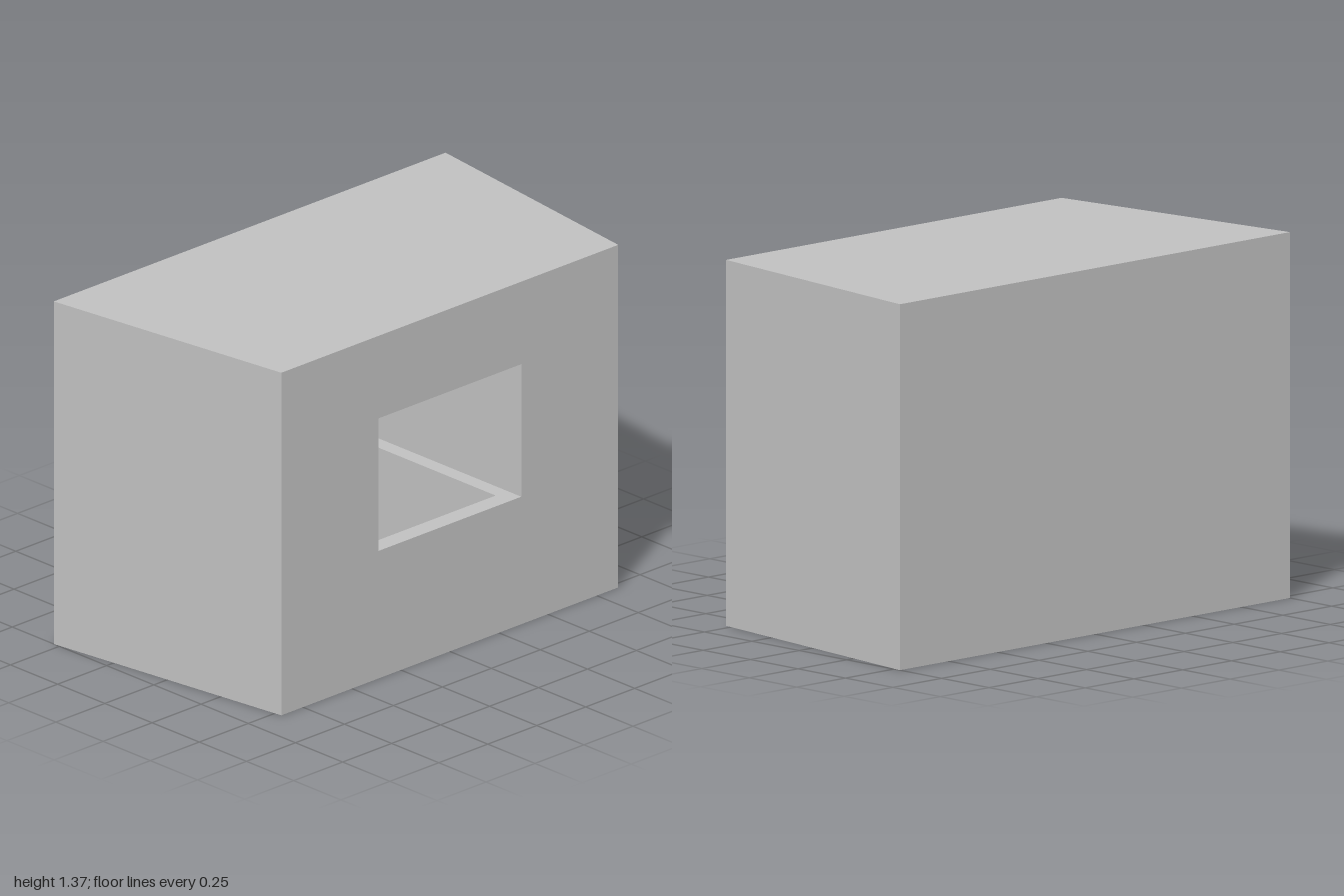
import * as THREE from 'three';
import { mergeGeometries } from 'three/addons/utils/BufferGeometryUtils.js';

const H = 1.37, FRONT = 0.53, BACK = -0.53;      // block height and depth
const FLOOR = 0.51, CEIL = 1.04;                 // chamber heights

// Outlines in plan, as [x, z]
const block = [[-0.86, FRONT], [0.86, FRONT], [1, BACK], [-1, BACK]];
const chamber = [[-0.365, FRONT], [-0.365, -0.47], [0.365, -0.47], [0.365, FRONT]];
const shaft = [[-0.305, 0.457], [-0.305, -0.413], [0.305, -0.413], [0.305, 0.457]];

const points = (list) => list.map(([x, y]) => new THREE.Vector2(x, y));

// Flat panel in the xy plane, with an optional hole
function panel(outline, hole) {
  const shape = new THREE.Shape(points(outline));
  if (hole) shape.holes.push(new THREE.Path(points(hole)));
  return new THREE.ShapeGeometry(shape);
}

// Horizontal panels that face up or down
function facingUp(outline, y, hole) {
  const flip = (list) => list && list.map(([x, z]) => [x, -z]);
  return panel(flip(outline), flip(hole)).rotateX(-Math.PI / 2).translate(0, y, 0);
}
const facingDown = (outline, y, hole) =>
  panel(outline, hole).rotateX(Math.PI / 2).translate(0, y, 0);

// Upright walls along a path; each faces the side on which the path runs left to right
function walls(path, y0, y1) {
  const parts = [];
  for (let i = 0; i < path.length - 1; i++) {
    const [ax, az] = path[i], [bx, bz] = path[i + 1];
    const length = Math.hypot(bx - ax, bz - az);
    parts.push(new THREE.PlaneGeometry(length, y1 - y0)
      .rotateY(Math.atan2(az - bz, bx - ax))
      .translate((ax + bx) / 2, (y0 + y1) / 2, (az + bz) / 2));
  }
  return mergeGeometries(parts);
}

const rect = (w, y0, y1) => [[-w, y0], [w, y0], [w, y1], [-w, y1]];

export function createModel() {
  const group = new THREE.Group();
  group.name = 'hollowBlock';
  const grey = new THREE.MeshStandardMaterial({ color: 0xc0c0c0 });
  grey.name = 'grey';

  const add = (name, geometry) => {
    const mesh = new THREE.Mesh(geometry, grey);
    mesh.name = name;
    group.add(mesh);
  };

  // Outer faces
  add('frontFace', panel(rect(0.86, 0, H), rect(0.365, FLOOR, CEIL)).translate(0, 0, FRONT));
  add('sideAndBackFaces', walls([...block.slice(1), block[0]], 0, H));
  add('topFace', facingUp(block, H));
  add('bottomFace', facingDown(block, 0, shaft));

  // Chamber behind the front opening
  add('chamberWalls', walls(chamber, FLOOR, CEIL));
  add('chamberCeiling', facingDown(chamber, CEIL));
  add('chamberFloor', facingUp(chamber, FLOOR, shaft));

  // Shaft from the chamber floor down through the bottom
  add('shaftWalls', walls([...shaft, shaft[0]], 0, FLOOR));

  return group;
}
